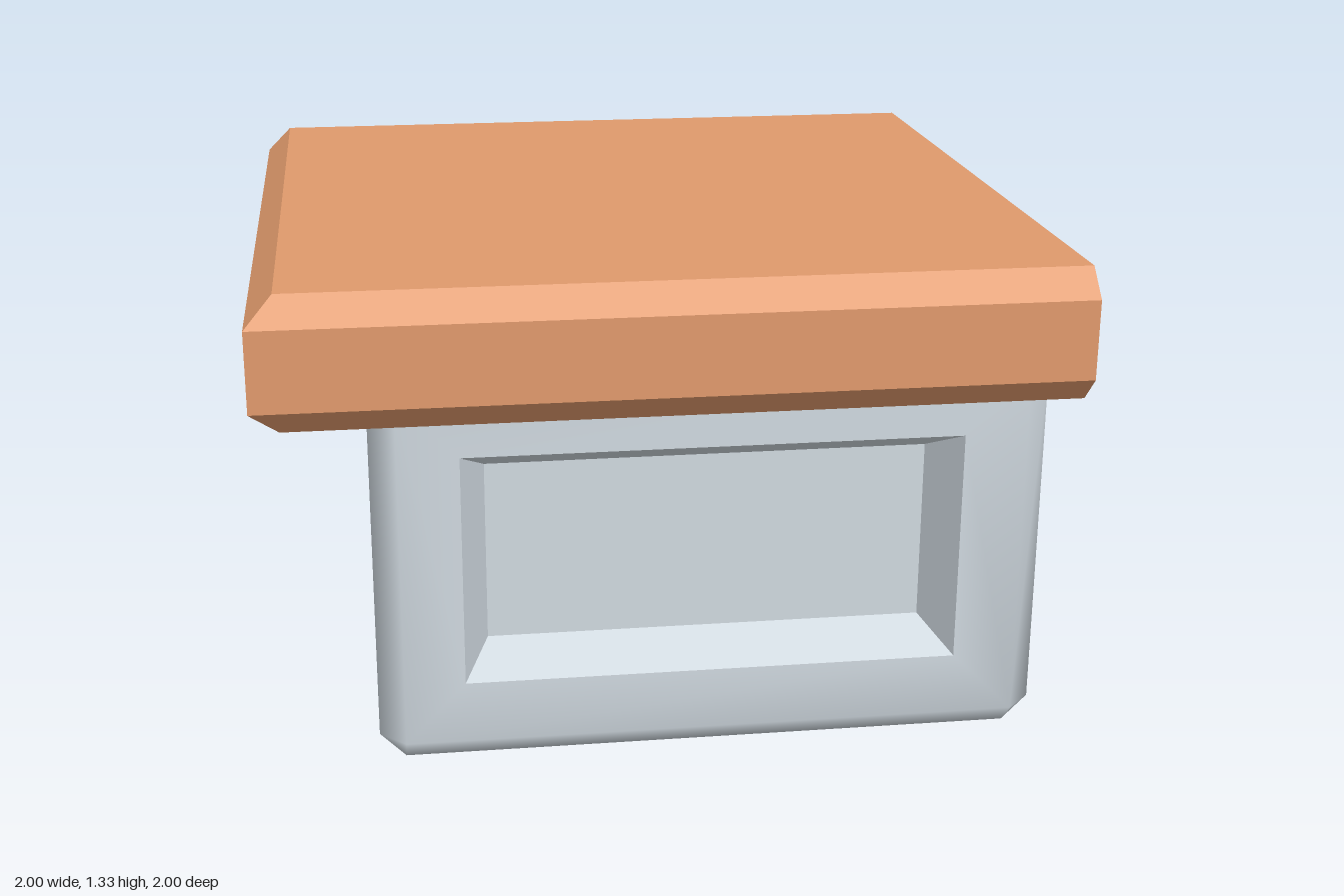
import * as THREE from 'three';

const C = 0.067; // width of every chamfer

// Small mesh builder: polygons are corner index lists, counter-clockwise from outside
function polyMesh(name, points, polys, material, smooth) {
  const index = [];
  for (const p of polys) for (let i = 1; i < p.length - 1; i++) index.push(p[0], p[i], p[i + 1]);
  let geo = new THREE.BufferGeometry();
  geo.setAttribute('position', new THREE.Float32BufferAttribute(points.flat(), 3));
  geo.setIndex(index);
  if (!smooth) geo = geo.toNonIndexed();
  geo.computeVertexNormals();
  const mesh = new THREE.Mesh(geo, material);
  mesh.name = name;
  return mesh;
}

export function createModel() {
  const group = new THREE.Group();
  group.name = 'cornerCounter';
  const wood = new THREE.MeshStandardMaterial({ color: 0xe09a6c });
  wood.name = 'wood';
  const paint = new THREE.MeshStandardMaterial({ color: 0xd0d9e0 });
  paint.name = 'pale grey paint';

  // Worktop: stacked rectangles, chamfered on the front and -x edges only
  const levels = [[1, C], [1 + C, 0], [1.333 - C, 0], [1.333, C]];
  const topPts = levels.flatMap(([y, d]) => [[-1 + d, y, 1 - d], [1, y, 1 - d], [1, y, -1], [-1 + d, y, -1]]);
  const topPolys = [[3, 2, 1, 0], [12, 13, 14, 15]];
  for (let l = 0; l < 3; l++) {
    for (let k = 0; k < 4; k++) {
      const a = l * 4 + k, b = l * 4 + (k + 1) % 4;
      topPolys.push([a, b, b + 4, a + 4]);
    }
  }
  group.add(polyMesh('worktop', topPts, topPolys, wood, false));

  // Cabinet: chamfered outline at two heights over a smaller base rectangle
  const x0 = -0.733, x1 = 1, z0 = -1, z1 = 0.733;
  const outline = [
    [x0 + C, z1], [x1 - C, z1], [x1, z1 - C], [x1, z0 + C],
    [x1 - C, z0], [x0 + C, z0], [x0, z0 + C], [x0, z1 - C],
  ];
  const rect = (l, r, b, t, z) => [[l, b, z], [r, b, z], [r, t, z], [l, t, z]];
  const frame = rect(-0.51, 0.77, 0.23, 0.843, z1);
  const inner = rect(-0.443, 0.703, 0.297, 0.776, z1 - 2 * C);
  const M = 0, T = 8, B = 16, F = 20; // first index of mid, top, base and frame points
  const pts = [
    ...outline.map(([x, z]) => [x, C, z]),
    ...outline.map(([x, z]) => [x, 1, z]),
    [x0 + C, 0, z1 - C], [x1 - C, 0, z1 - C], [x1 - C, 0, z0 + C], [x0 + C, 0, z0 + C],
    ...frame,
  ];
  const polys = [[B, B + 3, B + 2, B + 1]];
  for (let i = 0; i < 8; i++) {
    const j = (i + 1) % 8;
    // Walls and upright chamfers; the front and the flat +x side come separately
    if (i !== 0 && i !== 2) polys.push([M + i, M + j, T + j, T + i]);
    // Lower chamfers and their corner triangles
    if (i % 2 === 0) polys.push([B + i / 2, B + (i / 2 + 1) % 4, M + j, M + i]);
    else polys.push([B + ((i + 1) / 2) % 4, M + j, M + i]);
  }
  // Front face around the recessed panel
  const rim = [M, M + 1, T + 1, T];
  for (let k = 0; k < 4; k++) {
    const n = (k + 1) % 4;
    polys.push([rim[k], rim[n], F + n, F + k]);
  }
  group.add(polyMesh('cabinetBody', pts, polys, paint, true));

  // Flat end panel on the +x side
  const end = [[x1, C, z1 - C], [x1, C, z0 + C], [x1, 1, z0 + C], [x1, 1, z1 - C]];
  group.add(polyMesh('endPanel', end, [[0, 1, 2, 3]], paint, false));

  // Recessed front panel with sloping sides
  const recess = [[4, 5, 6, 7]];
  for (let k = 0; k < 4; k++) {
    const n = (k + 1) % 4;
    recess.push([k, n, 4 + n, 4 + k]);
  }
  group.add(polyMesh('recessedPanel', [...frame, ...inner], recess, paint, false));

  return group;
}
